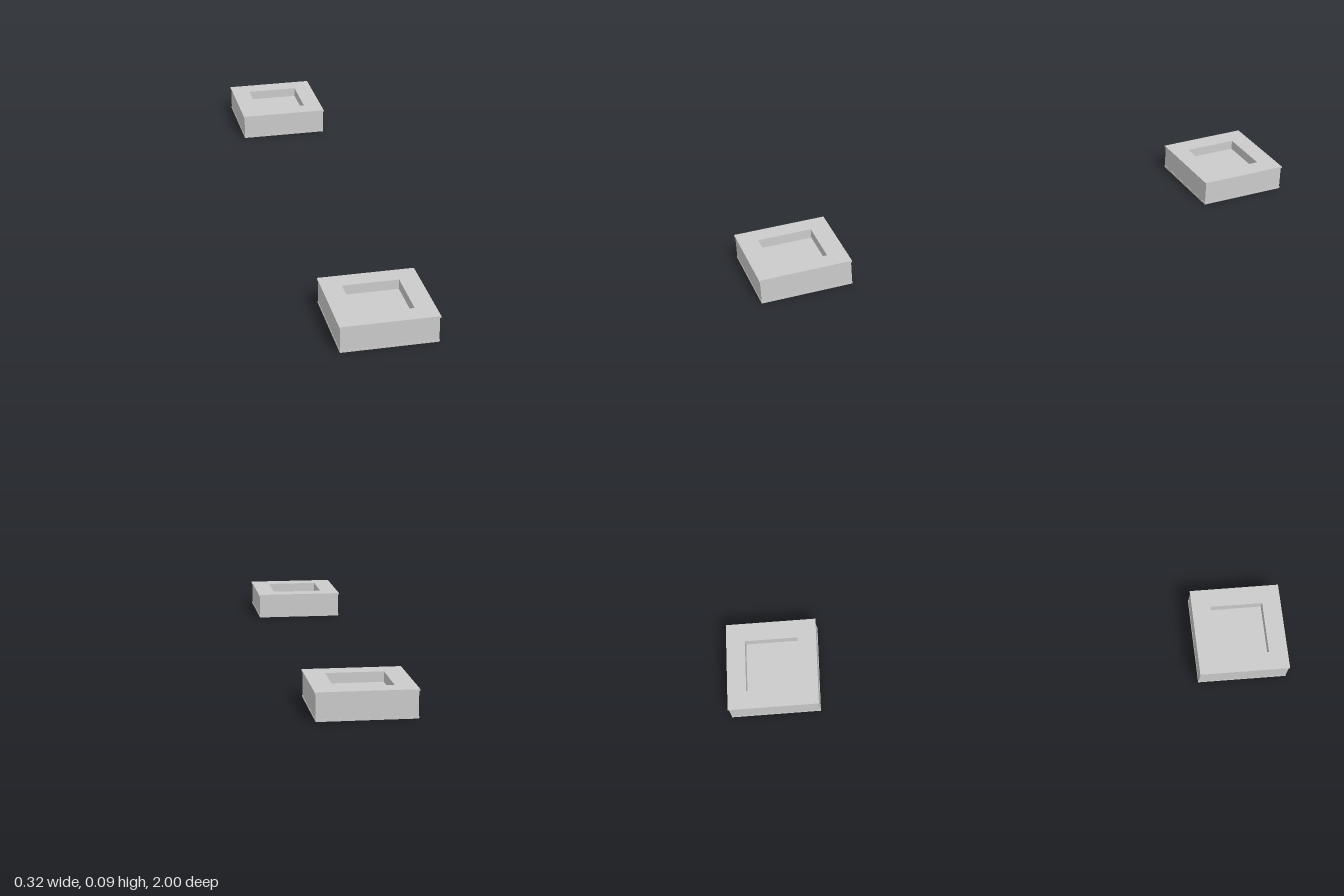
import * as THREE from 'three';

const material = new THREE.MeshStandardMaterial({ color: 0xcccccc, flatShading: true });

// Square ring standing on y0, with a square hole through it
function squareRing(name, outer, inner, y0, y1) {
  const corners = (h) => [[-h, -h], [h, -h], [h, h], [-h, h]].map(([x, y]) => new THREE.Vector2(x, y));
  const shape = new THREE.Shape(corners(outer));
  shape.holes.push(new THREE.Path(corners(inner).reverse()));
  const geometry = new THREE.ExtrudeGeometry(shape, { depth: y1 - y0, bevelEnabled: false });
  geometry.rotateX(-Math.PI / 2).translate(0, y0, 0);
  const mesh = new THREE.Mesh(geometry, material);
  mesh.name = name;
  return mesh;
}

function createTray() {
  const tray = new THREE.Group();
  const wellHalf = 0.094, floorY = 0.058, lidY = 0.086, topY = 0.092;

  // Open-bottomed box with a thin lip at its foot and an overhanging lid
  tray.add(squareRing('sideWalls', 0.158, 0.155, 0, lidY));
  tray.add(squareRing('footLip', 0.159, 0.155, 0.002, 0.008));
  tray.add(squareRing('lid', 0.161, wellHalf, lidY, topY));

  // Square well sunk into the lid
  tray.add(squareRing('wellWalls', wellHalf + 0.001, wellHalf, floorY, lidY));
  const floor = new THREE.Mesh(
    new THREE.BoxGeometry(2 * wellHalf + 0.002, 0.002, 2 * wellHalf + 0.002), material);
  floor.position.y = floorY - 0.001;
  floor.name = 'wellFloor';
  tray.add(floor);
  return tray;
}

export function createModel() {
  const model = new THREE.Group();
  model.name = 'trayPair';
  // Matching trays at the front and the back
  for (const side of [1, -1]) {
    const tray = createTray();
    tray.name = side > 0 ? 'frontTray' : 'backTray';
    tray.position.z = side * 0.839;
    model.add(tray);
  }
  return model;
}
